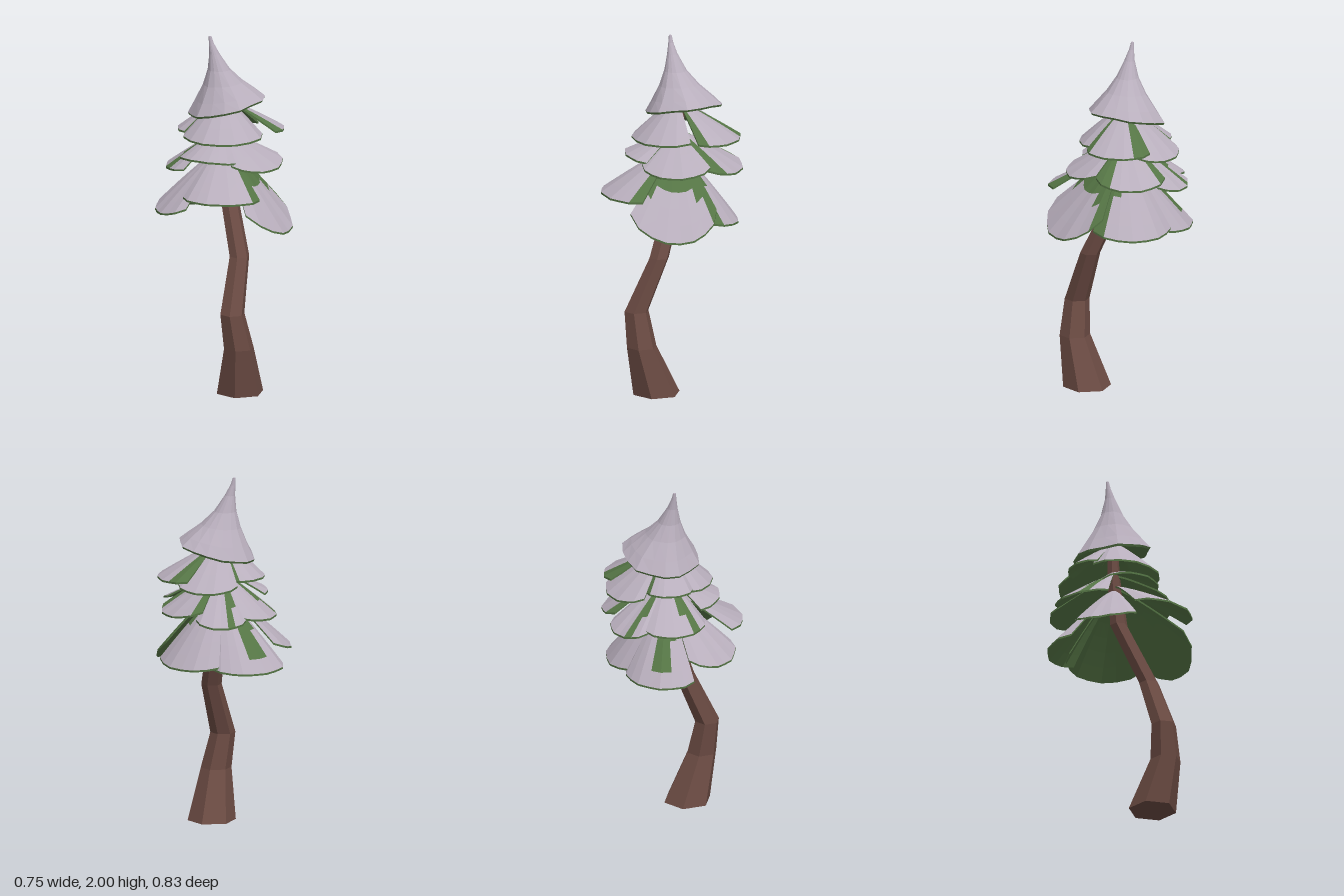
import * as THREE from 'three';

const snow = new THREE.MeshStandardMaterial({ color: 0xb8aebc });
const needles = new THREE.MeshStandardMaterial({ color: 0x557545 });
const bark = new THREE.MeshStandardMaterial({ color: 0x6b4b43 });
snow.name = 'snow';
needles.name = 'needles';
bark.name = 'bark';

// Faceted geometry from lists of quads, one material group per list
function quadGeometry(...lists) {
  const pos = [];
  const geo = new THREE.BufferGeometry();
  lists.forEach((quads, m) => {
    const start = pos.length / 3;
    for (const [a, b, c, d] of quads) for (const p of [a, b, c, a, c, d]) pos.push(...p);
    geo.addGroup(start, pos.length / 3 - start, m);
  });
  geo.setAttribute('position', new THREE.Float32BufferAttribute(pos, 3));
  geo.computeVertexNormals();
  return geo;
}

// Skin over rings [y, centre x, centre z, radius, tilt]; wave makes the rim uneven
function loft(rings, sides, phase = 0, wave = 0) {
  const pts = rings.map(([y, cx, cz, r, tilt = 0]) =>
    Array.from({ length: sides }, (_, j) => {
      const a = phase + (j / sides) * Math.PI * 2;
      const rr = r * (1 + wave * Math.sin(j * 2.4) * Math.min(1, r / 0.2));
      return [cx + rr * Math.cos(a), y + tilt * Math.cos(a - 0.2), cz + rr * Math.sin(a)];
    }));
  const quads = [];
  for (let i = 0; i < rings.length - 1; i++)
    for (let j = 0; j < sides; j++) {
      const k = (j + 1) % sides;
      quads.push([pts[i][j], pts[i + 1][j], pts[i + 1][k], pts[i][k]]);
    }
  return quadGeometry(quads);
}

// Drooping fan bough: needles below and on the rim, snow on top.
// r: reach at the first and last angle; line: where snow starts in each of the
// eight strips, from 0 (whole strip is snowy) to 1 (bare strip).
const snowy = [0, 0, 0, 0, 0, 0, 0, 0];
function bough({ from, to, r, top, edge, lift = 0, line = snowy }) {
  const nu = 8, nt = 6, thick = 0.011;
  const point = (i, j, drop) => {
    const t = i / nt, u = j / nu;
    const a = THREE.MathUtils.degToRad(from + (to - from) * u);
    const round = 0.84 + 0.16 * Math.pow(Math.sin(Math.PI * u), 0.5);
    const outer = (r[0] + (r[1] - r[0]) * u) * round * (1 + 0.01 * Math.sin(j * 2.7));
    const rad = 0.025 + (outer - 0.025) * t;
    const side = (2 * u - 1) ** 2;
    const y = top + (edge + thick + lift * side - top) * Math.pow(t, 1.12) - drop;
    return [0.01 + rad * Math.cos(a), y, -0.05 + rad * Math.sin(a)];
  };
  const T = (i, j) => point(i, j, 0), B = (i, j) => point(i, j, thick);
  const white = [], green = [];
  for (let i = 0; i < nt; i++) {
    for (let j = 0; j < nu; j++) {
      (i / nt >= line[j] ? white : green).push([T(i, j), T(i, j + 1), T(i + 1, j + 1), T(i + 1, j)]);
      green.push([B(i, j), B(i + 1, j), B(i + 1, j + 1), B(i, j + 1)]);
    }
    green.push([B(i, 0), T(i, 0), T(i + 1, 0), B(i + 1, 0)]);
    green.push([B(i + 1, nu), T(i + 1, nu), T(i, nu), B(i, nu)]);
  }
  for (let j = 0; j < nu; j++) green.push([B(nt, j), T(nt, j), T(nt, j + 1), B(nt, j + 1)]);
  return quadGeometry(white, green);
}

// Angles in degrees from +x towards +z
const tiers = {
  lowerBough: [
    { from: 68, to: 136, r: [0.48, 0.43], top: 1.38, edge: 1.14, line: [1, 0, 0, 0, 0, 0, 0, 0] },
    { from: -6, to: 80, r: [0.365, 0.475], top: 1.37, edge: 0.92, lift: 0.14, line: [1, 0.66, 0.5, 0.5, 0.5, 0.5, 0.5, 0.66] },
    { from: 134, to: 198, r: [0.42, 0.37], top: 1.35, edge: 1.02, lift: 0.05 },
    { from: 196, to: 278, r: [0.43, 0.32], top: 1.33, edge: 0.94, lift: 0.02, line: [0, 0.5, 0.8, 0.8, 0.3, 0, 0, 0] },
    { from: 254, to: 364, r: [0.3, 0.375], top: 1.34, edge: 0.95, lift: 0.04, line: [0, 0, 0, 0, 0, 0.16, 0.5, 1] },
  ],
  middleBough: [
    { from: 82, to: 170, r: [0.3, 0.29], top: 1.46, edge: 1.34, lift: -0.02 },
    { from: 2, to: 88, r: [0.36, 0.31], top: 1.45, edge: 1.27, lift: 0.04 },
    { from: 162, to: 244, r: [0.29, 0.365], top: 1.45, edge: 1.23, lift: 0.02, line: [0, 0, 1, 0.6, 0, 0, 0, 0] },
    { from: 241, to: 294, r: [0.375, 0.365], top: 1.45, edge: 1.21, lift: 0.03, line: [0, 0.6, 1, 0, 0, 0, 0, 0] },
    { from: 286, to: 364, r: [0.38, 0.34], top: 1.46, edge: 1.25, lift: 0.04, line: [1, 0, 0, 0, 0, 0, 1, 1] },
  ],
  upperBough: [
    { from: 20, to: 188, r: [0.265, 0.25], top: 1.64, edge: 1.43, lift: 0.01 },
    { from: 304, to: 376, r: [0.375, 0.35], top: 1.63, edge: 1.44, lift: 0.01, line: [1, 1, 0, 0, 0, 0, 0, 1] },
    { from: 248, to: 318, r: [0.33, 0.365], top: 1.64, edge: 1.4, lift: 0.03 },
    { from: 180, to: 252, r: [0.26, 0.27], top: 1.63, edge: 1.45, line: [0, 0, 0, 0, 0, 0, 0, 1] },
  ],
};

export function createModel() {
  const tree = new THREE.Group();
  tree.name = 'snowyPine';
  const add = (name, geo, mat, parent = tree) => {
    const mesh = new THREE.Mesh(geo, mat);
    mesh.name = name;
    parent.add(mesh);
  };

  // Crooked six-sided trunk with a closed foot
  add('trunk', loft([
    [0, 0.075, 0.155, 0],
    [0, 0.075, 0.155, 0.135],
    [0.28, 0.055, 0.245, 0.086],
    [0.48, 0.018, 0.252, 0.07],
    [0.78, 0.075, 0.135, 0.057],
    [1.15, 0.03, -0.03, 0.05],
    [1.45, 0.015, -0.055, 0.036],
    [1.72, 0.015, -0.06, 0.025],
  ], 6, -0.16), bark);

  // Three tiers of boughs
  for (const [name, list] of Object.entries(tiers)) {
    const tier = new THREE.Group();
    tier.name = name + 's';
    list.forEach((spec) => add(name, bough(spec), [snow, needles], tier));
    tree.add(tier);
  }

  // Curved snow cap and its needle lining
  const rim = [0.035, -0.075];
  add('snowCap', loft([
    [1.6, ...rim, 0.214, 0.05],
    [1.655, 0.03, -0.07, 0.172, 0.03],
    [1.73, 0.012, -0.06, 0.112, 0.01],
    [1.81, -0.012, -0.053, 0.063],
    [1.9, -0.038, -0.052, 0.029],
    [1.96, -0.055, -0.055, 0.014],
    [2, -0.062, -0.057, 0.008],
    [2, -0.062, -0.057, 0],
  ], 16, 0.2, 0.045), snow);
  add('capLining', loft([
    [1.68, 0.02, -0.06, 0.03],
    [1.588, ...rim, 0.208, 0.05],
    [1.6, ...rim, 0.214, 0.05],
  ], 16, 0.2, 0.045), needles);

  return tree;
}
